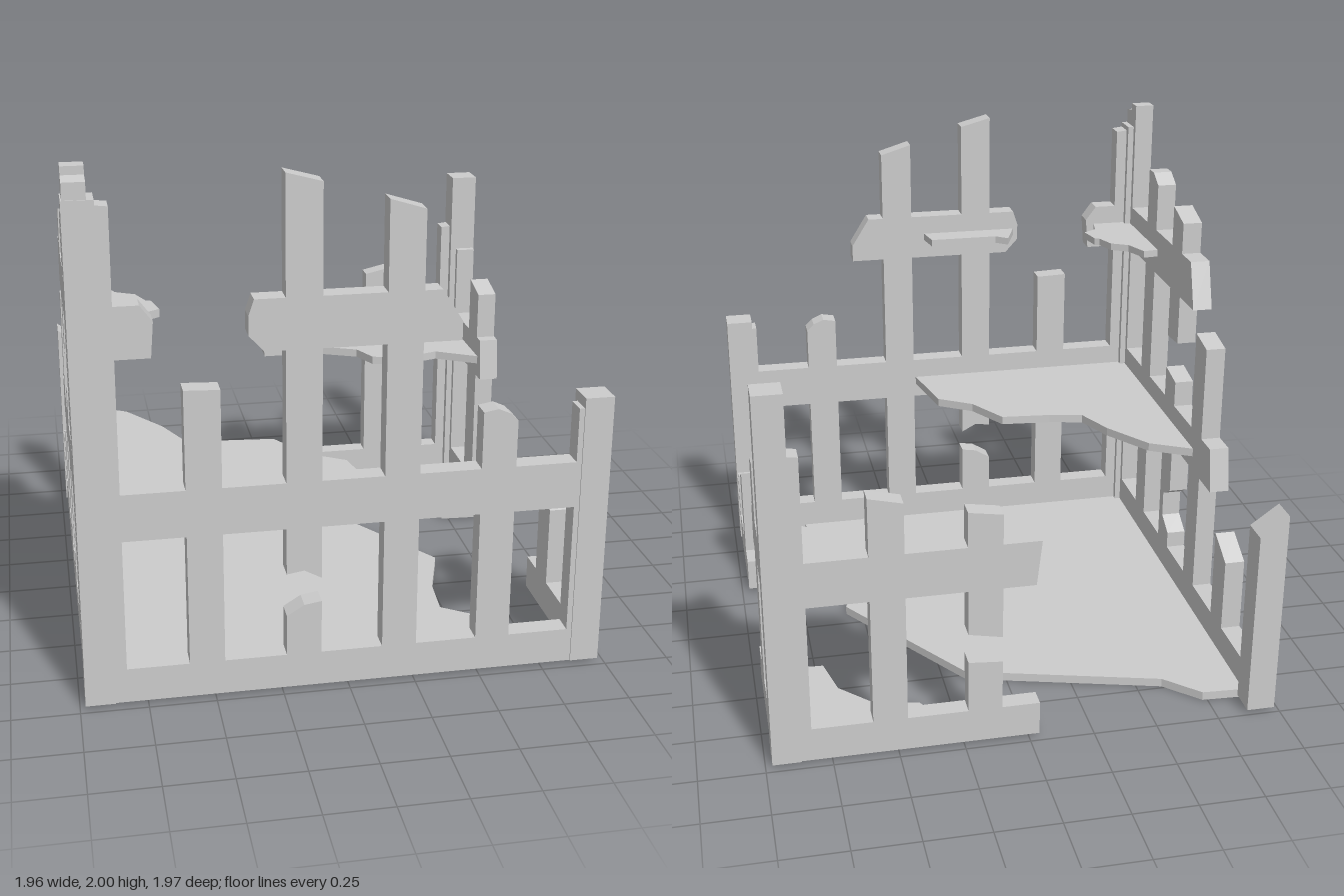
import * as THREE from 'three';

const material = new THREE.MeshStandardMaterial({ color: 0xcccccc, flatShading: true });

// Extrude an outline of [u, v] points
function extrude(points, depth) {
  const shape = new THREE.Shape(points.map(([u, v]) => new THREE.Vector2(u, v)));
  return new THREE.ExtrudeGeometry(shape, { depth, bevelEnabled: false });
}

// Upright outline in (x, y), from z0 to z1
function alongX(points, z0, z1) {
  return extrude(points, z1 - z0).translate(0, 0, z0);
}

// Upright outline in (z, y), from x0 to x1
function alongZ(points, x0, x1) {
  return extrude(points, x1 - x0).rotateY(-Math.PI / 2).translate(x1, 0, 0);
}

// Horizontal outline in (x, z), from y0 to y1
function slab(points, y0, y1) {
  return extrude(points.map(([x, z]) => [x, -z]), y1 - y0).rotateX(-Math.PI / 2).translate(0, y0, 0);
}

const BASE = 0.015, HALF = 0.065;

// Stud centred on c; the top (and bottom) may slope from one side to the other
const stud = (c, topA, topB = topA, botA = BASE, botB = botA) =>
  [[c - HALF, botA], [c + HALF, botB], [c + HALF, topB], [c - HALF, topA]];

// Horizontal beam whose ends may be broken at a slant
const beam = (y0, y1, a0, b0, a1 = a0, b1 = b0) => [[a0, y0], [b0, y0], [b1, y1], [a1, y1]];
const sill = (a, b) => beam(BASE, 0.15, a, b);
const MID = [0.66, 0.84], TOP = [1.34, 1.53];

export function createModel() {
  const model = new THREE.Group();

  function add(name, geometries) {
    const group = new THREE.Group();
    group.name = name;
    geometries.forEach((geometry) => {
      const mesh = new THREE.Mesh(geometry, material);
      mesh.name = name + 'Piece';
      group.add(mesh);
    });
    model.add(group);
  }

  // Front wall
  add('frontWall', [
    sill(-0.96, 0.96),
    beam(...MID, -0.96, 0.96),
    stud(-0.89, 1.89, 1.875),
    stud(-0.53, 1.215, 1.21),
    [[-0.235, BASE], [-0.105, BASE], [-0.105, 0.36], [-0.17, 0.35], [-0.235, 0.31]],
    [[-0.235, 0.48], [-0.17, 0.49], [-0.105, 0.455], [-0.105, 1.93], [-0.235, 1.965]],
    stud(0.19, 1.86, 1.82),
    [[0.485, BASE], [0.615, BASE], [0.615, 1.02], [0.585, 1.05], [0.54, 1.07], [0.485, 1.06]],
    stud(0.91, 1.05),
    // broken upper beam
    [[-0.96, 1.34], [-0.7, 1.34], [-0.69, 1.47], [-0.735, 1.53], [-0.96, 1.53]],
    [[-0.31, 1.34], [0.395, 1.34], [0.395, 1.41], [0.32, 1.53], [-0.345, 1.53], [-0.365, 1.47], [-0.365, 1.4]],
  ].map((p) => alongX(p, 0.895, 0.975)));

  // Back wall, only one half left
  add('backWall', [
    sill(-0.04, 0.96),
    beam(...MID, -0.02, 0.96, -0.04, 0.96),
    stud(0.17, 0.35, 0.36),
    stud(0.17, 0.96, 0.98, 0.455, 0.48),
    stud(0.53, 1.04, 1.07),
    stud(0.89, 1.25, 1.265),
  ].map((p) => alongX(p, -0.975, -0.9)));

  // Wall on the -x side
  add('rightWall', [
    sill(-0.96, 0.96),
    beam(...MID, -0.37, 0.96, -0.34, 0.96),
    beam(...TOP, -0.05, 0.96, 0.01, 0.96),
    stud(-0.89, 0.36),
    stud(-0.53, 0.45, 0.52),
    stud(-0.17, 1.235, 1.26),
    // stud with a bite, its broken stub above and the hanging piece
    [[0.125, BASE], [0.255, BASE], [0.255, 0.95], [0.255, 0.975], [0.125, 0.95],
      [0.125, 0.43], [0.21, 0.38], [0.21, 0.27], [0.125, 0.22]],
    stud(0.19, 1.66, 1.7, 1.13, 1.12),
    [[0.48, BASE], [0.61, BASE], [0.61, 1.77], [0.55, 1.77], [0.48, 1.73]],
    [[0.845, BASE], [0.975, BASE], [0.975, 1.96], [0.91, 1.97], [0.91, 2], [0.845, 2]],
  ].map((p) => alongZ(p, -0.975, -0.895)));

  // Wall on the +x side, broken into two ends
  add('leftWall', [
    sill(0.36, 0.96),
    stud(0.535, 0.52, 0.47),
    stud(0.9, 0.35),
    sill(-0.96, -0.355),
    beam(...MID, -0.96, -0.41, -0.96, -0.43),
    stud(-0.545, 1.075, 1.04),
    stud(-0.91, 1.16, 1.15),
  ].map((p) => alongZ(p, 0.89, 0.97)));

  // Corner posts: x, z, height at the -x side, height at the +x side
  [
    ['frontRightPost', -0.925, 0.925, 1.9, 1.9],
    ['frontLeftPost', 0.92, 0.925, 1.09, 1.09],
    ['backLeftPost', 0.92, -0.925, 1.49, 1.49],
    ['backRightPost', -0.925, -0.935, 0.85, 0.77],
  ].forEach(([name, x, z, hA, hB]) => {
    const w = 0.055;
    add(name, [alongX([[x - w, BASE], [x + w, BASE], [x + w, hB], [x - w, hA]], z - w, z + w)]);
  });

  // Ground floor
  add('groundFloor', [
    slab([[-0.91, -0.875], [-0.73, -0.865], [-0.6, -0.74], [0.16, -0.53], [0.57, 0.08], [0.49, 0.33],
      [0.475, 0.515], [0.61, 0.61], [0.67, 0.91], [-0.91, 0.91]], 0, 0.035),
    slab([[0.12, -0.91], [0.16, -0.85], [0.33, -0.8], [0.38, -0.71], [0.56, -0.67], [0.68, -0.545],
      [0.72, -0.37], [0.91, -0.36], [0.91, -0.91]], 0, 0.035),
  ]);

  // Middle floor
  add('middleFloor', [
    slab([[-0.91, -0.15], [-0.73, -0.05], [-0.6, 0.14], [-0.53, 0.3], [-0.39, 0.33], [-0.18, 0.35],
      [-0.08, 0.52], [0.06, 0.61], [0.12, 0.91], [-0.91, 0.91]], 0.72, 0.755),
    slab([[0.02, -0.91], [0.05, -0.79], [0.37, -0.65], [0.42, -0.54], [0.55, -0.505], [0.72, -0.56],
      [0.91, -0.45], [0.91, -0.91]], 0.72, 0.755),
  ]);

  // Upper floor scraps
  add('upperFloor', [
    slab([[-0.91, 0.45], [-0.83, 0.44], [-0.79, 0.54], [-0.72, 0.58], [-0.69, 0.66], [-0.67, 0.67],
      [-0.65, 0.77], [-0.71, 0.81], [-0.73, 0.91], [-0.91, 0.91]], 1.42, 1.45),
    slab([[-0.35, 0.91], [-0.29, 0.75], [-0.24, 0.79], [0.05, 0.79], [0.07, 0.91]], 1.42, 1.45),
  ]);

  return model;
}
